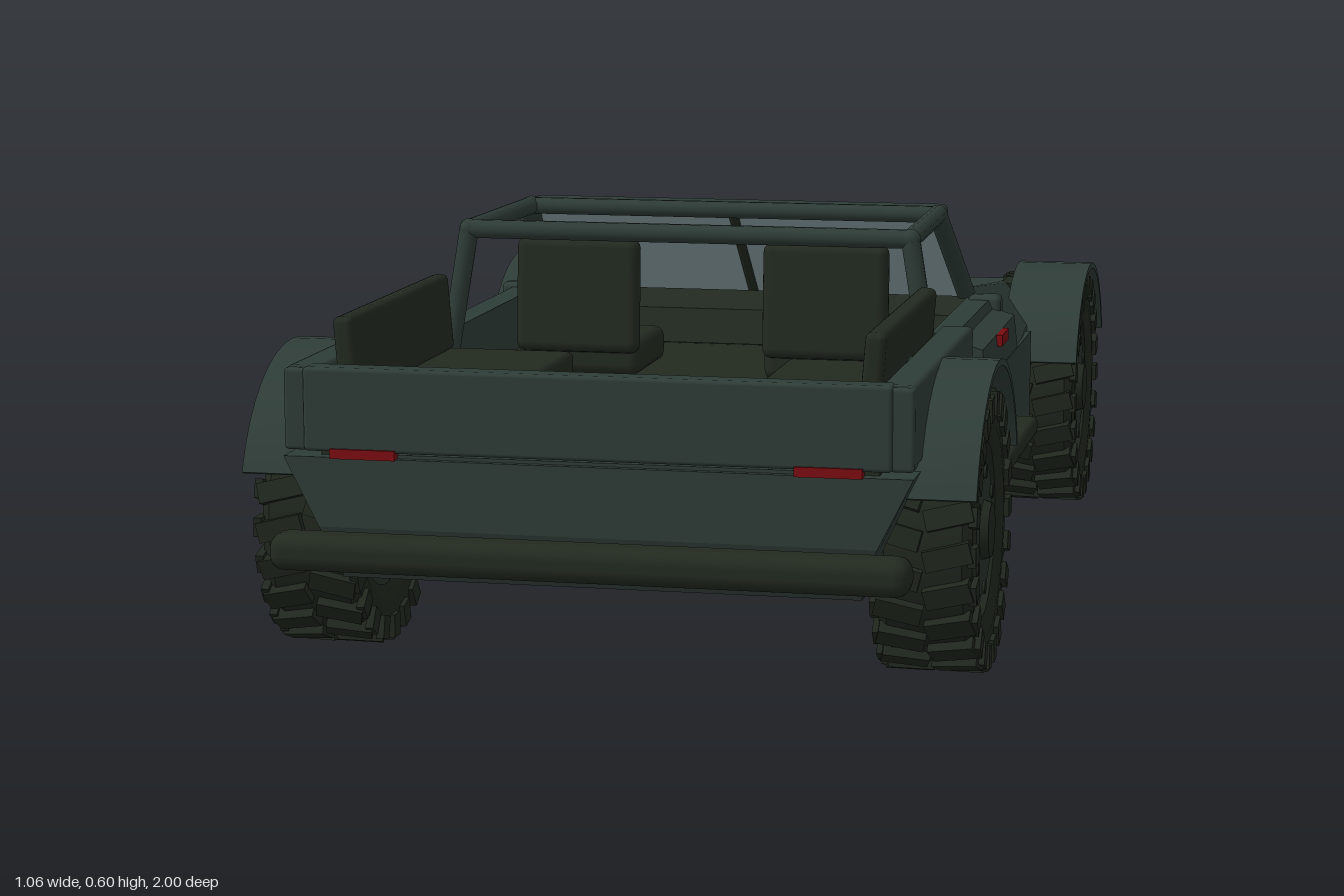
import * as THREE from 'three';
import { toCreasedNormals, mergeGeometries } from 'three/addons/utils/BufferGeometryUtils.js';
import { RoundedBoxGeometry } from 'three/addons/geometries/RoundedBoxGeometry.js';
import { ConvexGeometry } from 'three/addons/geometries/ConvexGeometry.js';

const mat = (name, color, side = THREE.FrontSide) => {
  const m = new THREE.MeshStandardMaterial({ color, side });
  m.name = name;
  return m;
};

export function createModel() {
  const M = {
    body: mat('green grey paint', 0x2e3c37),
    olive: mat('dark olive', 0x222a20),
    tyre: mat('tyre rubber', 0x1f271d),
    rim: mat('rim green', 0x27332d),
    pan: mat('underside', 0x212a28),
    glass: mat('window glass', 0x8ea3a6, THREE.DoubleSide),
    lamp: mat('headlamp', 0x8f9ea2),
    red: mat('red lamp', 0x7a0c10),
  };
  const root = new THREE.Group();
  root.name = 'openTruck';
  const V = (x, y, z) => new THREE.Vector3(x, y, z);

  const add = (name, geo, m, parent = root) => {
    const mesh = new THREE.Mesh(geo, m);
    mesh.name = name;
    parent.add(mesh);
    return mesh;
  };
  // Box given by its ranges; r rounds the edges
  const box = (name, m, [x0, x1], [y0, y1], [z0, z1], r = 0) => {
    const s = [x1 - x0, y1 - y0, z1 - z0];
    const mesh = add(name, r ? new RoundedBoxGeometry(...s, 2, r) : new THREE.BoxGeometry(...s), m);
    mesh.position.set((x0 + x1) / 2, (y0 + y1) / 2, (z0 + z1) / 2);
    return mesh;
  };
  // The same box on both sides
  const pair = (name, m, [x0, x1], y, z, r = 0) =>
    [box(name + 'Left', m, [x0, x1], y, z, r), box(name + 'Right', m, [-x1, -x0], y, z, r)];
  // Convex block through points
  const hull = (name, m, pts) => add(name, new ConvexGeometry(pts.map((p) => V(...p))), m);
  // Symmetric block through rows of [halfWidth, y, z]
  const symHull = (name, m, rows) => hull(name, m, rows.flatMap(([x, y, z]) => [[x, y, z], [-x, y, z]]));
  // Straight bar between two points
  const bar = (name, m, a, b, r, sides = 10) => {
    const d = b.clone().sub(a);
    const mesh = add(name, new THREE.CylinderGeometry(r, r, d.length(), sides), m);
    mesh.position.copy(a).add(b).multiplyScalar(0.5);
    mesh.quaternion.setFromUnitVectors(V(0, 1, 0), d.normalize());
    return mesh;
  };

  // Lower body and underside
  box('chassis', M.body, [-0.375, 0.375], [0.18, 0.335], [-0.9, 0.92]);
  box('underPan', M.pan, [-0.375, 0.375], [0.152, 0.18], [-0.885, 0.9]);
  pair('bodySide', M.body, [0.375, 0.45], [0.18, 0.34], [-0.42, 0.42]);
  pair('sidePan', M.pan, [0.375, 0.43], [0.152, 0.18], [-0.42, 0.42]);
  symHull('tailPanel', M.body, [0.86, 0.93].flatMap((z) =>
    [[0.45, 0.33, z], [0.4, 0.23, z], [0.375, 0.17, z - 0.02]]));
  pair('step', M.olive, [0.44, 0.495], [0.205, 0.237], [-0.155, 0.29], 0.01);
  for (const s of [-1, 1]) {
    const hook = add('towHook', new THREE.CylinderGeometry(0.025, 0.012, 0.02, 8), M.pan);
    hook.position.set(s * 0.275, 0.158, 0.87);
  }

  // Bonnet and nose
  symHull('bonnet', M.body, [
    [0.4, 0.19, -0.89], [0.42, 0.28, -0.915], [0.42, 0.335, -0.915], [0.405, 0.368, -0.905],
    [0.385, 0.385, -0.78], [0.44, 0.345, -0.42], [0.45, 0.335, -0.205], [0.36, 0.442, -0.205],
  ]);
  box('grillePanel', M.rim, [-0.25, 0.25], [0.285, 0.345], [-0.919, -0.912]);
  for (const x of [-0.25, -0.085, 0.085, 0.25])
    box('grilleRib', M.olive, [x - 0.003, x + 0.003], [0.285, 0.345], [-0.921, -0.914]);
  pair('headlamp', M.lamp, [0.29, 0.4], [0.292, 0.352], [-0.92, -0.911]);

  // Bumpers
  for (const [name, y, z, w] of [['tailBumper', 0.203, 0.968, 0.455], ['noseBumper', 0.225, -0.967, 0.48]]) {
    box(name, M.olive, [-w, w], [y - 0.027, y + 0.027], [z - 0.032, z + 0.032], 0.022);
    for (const s of [-1, 1])
      bar(name + 'Mount', M.pan, V(s * 0.27, y, z), V(s * 0.27, y, z - Math.sign(z) * 0.09), 0.015);
  }

  // Cab sides, doors and handles
  for (const s of [-1, 1]) {
    const block = (name, m, rows) => hull(name, m, rows.map(([x, y, z]) => [s * x, y, z]));
    block('cabSide', M.body, [0.335, -0.19].flatMap((z) =>
      [[0.37, 0.335, z], [0.45, 0.335, z], [0.44, 0.37, z], [0.37, 0.43, z], [0.41, 0.43, z]]));
    block('door', M.body, [0.24, -0.16].flatMap((z) =>
      [[0.41, 0.348, z], [0.458, 0.352, z], [0.452, 0.405, z], [0.41, 0.418, z]]));
    box('doorHandle', M.red, s > 0 ? [0.448, 0.462] : [-0.462, -0.448], [0.387, 0.405], [-0.005, 0.075]);
    // Mirror block at the windscreen foot
    box('cowlBlock', M.body, s > 0 ? [0.375, 0.43] : [-0.43, -0.375], [0.4, 0.438], [-0.185, -0.145], 0.01);
  }
  box('cabFloor', M.olive, [-0.375, 0.375], [0.33, 0.342], [-0.18, 0.34]);
  symHull('dashboard', M.olive, [[0.37, 0.335, -0.19], [0.37, 0.43, -0.19], [0.37, 0.415, -0.06], [0.37, 0.36, -0.04]]);

  // Cargo bed
  box('bedFloor', M.olive, [-0.4, 0.4], [0.33, 0.345], [0.34, 0.91]);
  box('bedRib', M.body, [-0.165, 0.165], [0.343, 0.35], [0.635, 0.65]);
  pair('bedWall', M.body, [0.4, 0.45], [0.34, 0.457], [0.335, 0.915], 0.008);
  box('tailgate', M.body, [-0.42, 0.42], [0.338, 0.458], [0.89, 0.932], 0.006);
  pair('tailPost', M.body, [0.415, 0.45], [0.338, 0.455], [0.89, 0.926], 0.006);
  pair('tailLamp', M.red, [0.285, 0.38], [0.329, 0.343], [0.915, 0.936]);
  pair('bench', M.olive, [0.168, 0.385], [0.345, 0.405], [0.37, 0.86], 0.012);
  pair('benchBack', M.olive, [0.365, 0.395], [0.4, 0.52], [0.37, 0.86], 0.01)
    .forEach((b, i) => { b.rotation.z = i ? 0.08 : -0.08; });

  // Cab seats
  pair('seatCushion', M.olive, [0.1, 0.3], [0.342, 0.4], [0.03, 0.225], 0.018);
  pair('seatBack', M.olive, [0.1, 0.3], [0.38, 0.562], [0.2, 0.236], 0.015)
    .forEach((b) => { b.rotation.x = -0.06; });

  // Roll cage
  const roof = 0.586;
  for (const s of [-1, 1]) {
    const path = new THREE.CurvePath();
    const p = [V(s * 0.39, 0.34, 0.328), V(s * 0.35, roof, 0.322), V(s * 0.342, roof, -0.02), V(s * 0.37, 0.415, -0.21)];
    for (let i = 0; i < 3; i++) {
      bar('cageBar', M.body, p[i], p[i + 1], i === 2 ? 0.016 : 0.015);
      if (i) add('cageJoint', new THREE.SphereGeometry(0.016, 10, 8), M.body).position.copy(p[i]);
    }
  }
  bar('cageRearBar', M.body, V(-0.35, roof, 0.322), V(0.35, roof, 0.322), 0.015);
  bar('cageFrontBar', M.body, V(-0.342, roof, -0.02), V(0.342, roof, -0.02), 0.014);
  box('visorBar', M.body, [-0.35, 0.35], [0.574, 0.597], [-0.09, -0.035], 0.01);

  // Windscreen: two panes with a centre post and frame
  const ws = (x, t) => V(x, 0.42 + 0.162 * t, -0.212 + 0.187 * t);
  for (const s of [-1, 1]) {
    const c = [ws(s * 0.008, 0.02), ws(s * 0.36, 0.02), ws(s * 0.34, 0.93), ws(s * 0.008, 0.93)];
    const g = new THREE.BufferGeometry().setFromPoints(c);
    g.setIndex(s > 0 ? [0, 2, 1, 0, 3, 2] : [0, 1, 2, 0, 2, 3]);
    g.computeVertexNormals();
    add('windscreenPane', g, M.glass);
  }
  bar('windscreenPost', M.olive, ws(0, 0), ws(0, 1), 0.008, 6);
  bar('windscreenSill', M.body, ws(-0.365, 0), ws(0.365, 0), 0.011, 8);

  // Wheel arch shells
  const arch = (ry) => {
    const shape = new THREE.Shape();
    const n = 16, a0 = 0.35;
    const pt = (i, t) => {
      const a = a0 + (Math.PI - 2 * a0) * (i / n);
      return [(0.247 - t) * Math.cos(a), (ry - t) * Math.sin(a)];
    };
    for (let i = 0; i <= n; i++) shape[i ? 'lineTo' : 'moveTo'](...pt(i, 0));
    for (let i = n; i >= 0; i--) shape.lineTo(...pt(i, 0.01));
    const g = new THREE.ExtrudeGeometry(shape, { depth: 0.13, bevelEnabled: false });
    g.translate(0, 0, -0.065).rotateY(Math.PI / 2);
    return toCreasedNormals(g, 0.5);
  };

  // Wheel geometry, axle along x, outer face towards +x
  const tyreProfile = [[0.12, -0.06], [0.15, -0.07], [0.182, -0.068], [0.193, -0.055], [0.193, 0.055],
    [0.182, 0.068], [0.15, 0.07], [0.128, 0.06], [0.12, 0.04]].map(([r, y]) => new THREE.Vector2(r, y));
  const tyreGeo = toCreasedNormals(new THREE.LatheGeometry(tyreProfile, 36).rotateZ(-Math.PI / 2), 0.6);
  const lugs = [];
  for (let i = 0; i < 22; i++) {
    for (const s of [-1, 1]) {
      const a = ((i + (s > 0 ? 0.5 : 0)) / 22) * Math.PI * 2;
      lugs.push(new THREE.BoxGeometry(0.068, 0.02, 0.03).rotateY(s * 0.25)
        .translate(s * 0.036, 0.195, 0).rotateX(a));
      lugs.push(new THREE.BoxGeometry(0.012, 0.035, 0.028).translate(s * 0.07, 0.183, 0).rotateX(a));
    }
  }
  const lugGeo = mergeGeometries(lugs);
  const disc = (r0, r1, x0, x1, n) =>
    new THREE.CylinderGeometry(r1, r0, x1 - x0, n).translate(0, (x0 + x1) / 2, 0).rotateZ(-Math.PI / 2);

  for (const [z, ry, label] of [[0.65, 0.245, 'tail'], [-0.65, 0.222, 'nose']]) {
    for (const s of [-1, 1]) {
      add(label + 'WheelArch', arch(ry), M.body).position.set(s * 0.465, 0.21, z);
      const wheel = new THREE.Group();
      wheel.name = label + 'Wheel';
      wheel.position.set(s * 0.45, 0.207, z);
      if (s < 0) wheel.rotation.y = Math.PI;
      root.add(wheel);
      add('tyre', tyreGeo, M.tyre, wheel);
      add('tread', lugGeo, M.tyre, wheel);
      add('rim', disc(0.125, 0.125, -0.055, 0.05, 32), M.rim, wheel);
      add('rimFace', disc(0.105, 0.095, 0.05, 0.06, 32), M.rim, wheel);
      add('hubCap', disc(0.045, 0.04, 0.058, 0.072, 16), M.tyre, wheel);
      for (let i = 0; i < 6; i++) {
        const a = (i / 6) * Math.PI * 2 + Math.PI / 6;
        add('wheelBolt', disc(0.01, 0.01, 0.058, 0.064, 8), M.tyre, wheel)
          .position.set(0, 0.085 * Math.sin(a), 0.085 * Math.cos(a));
      }
    }
    bar(label + 'Axle', M.pan, V(-0.4, 0.207, z), V(0.4, 0.207, z), 0.025);
  }
  return root;
}
